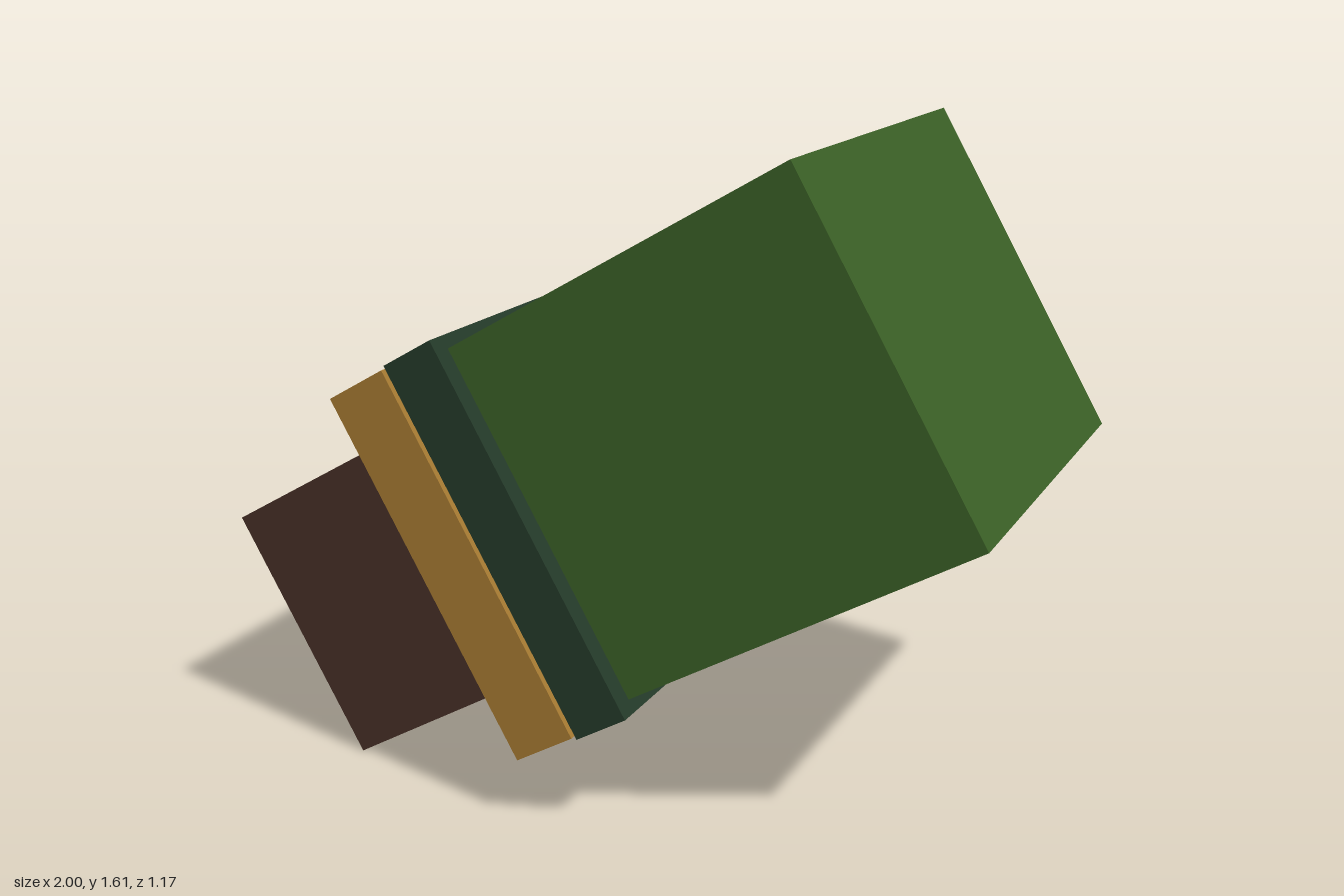
import * as THREE from 'three';

const paint = (name, hex) => {
  const m = new THREE.MeshStandardMaterial({ color: hex });
  m.name = name;
  return m;
};

export function createModel() {
  const green = paint('leaf green', 0x3a5f26);
  const darkGreen = paint('dark green', 0x243a29);
  const gold = paint('gold', 0xa67a32);
  const brown = paint('dark brown', 0x462f26);

  const model = new THREE.Group();
  model.name = 'tiltedBlockStack';

  // everything lies along one axis, tilted 30 degrees up towards +x
  const stack = new THREE.Group();
  stack.name = 'stack';
  stack.rotation.z = Math.PI / 6;
  model.add(stack);

  // box given by its limits along the axis, across it and in depth
  const block = (name, material, [u0, u1], [v0, v1], [z0, z1]) => {
    const mesh = new THREE.Mesh(new THREE.BoxGeometry(u1 - u0, v1 - v0, z1 - z0), material);
    mesh.name = name;
    mesh.position.set((u0 + u1) / 2, (v0 + v1) / 2, (z0 + z1) / 2);
    stack.add(mesh);
  };

  block('base', brown, [-0.571, 0.05], [0.33, 1.011], [-0.408, 0.385]);
  block('goldBand', gold, [0.002, 0.169], [0.193, 1.153], [-0.581, 0.581]);
  block('darkBand', darkGreen, [0.184, 0.328], [0.187, 1.159], [-0.586, 0.586]);
  // the body reaches through the dark band into the gold one
  block('body', green, [0.04, 1.28], [0.219, 1.126], [-0.579, 0.533]);

  return model;
}
